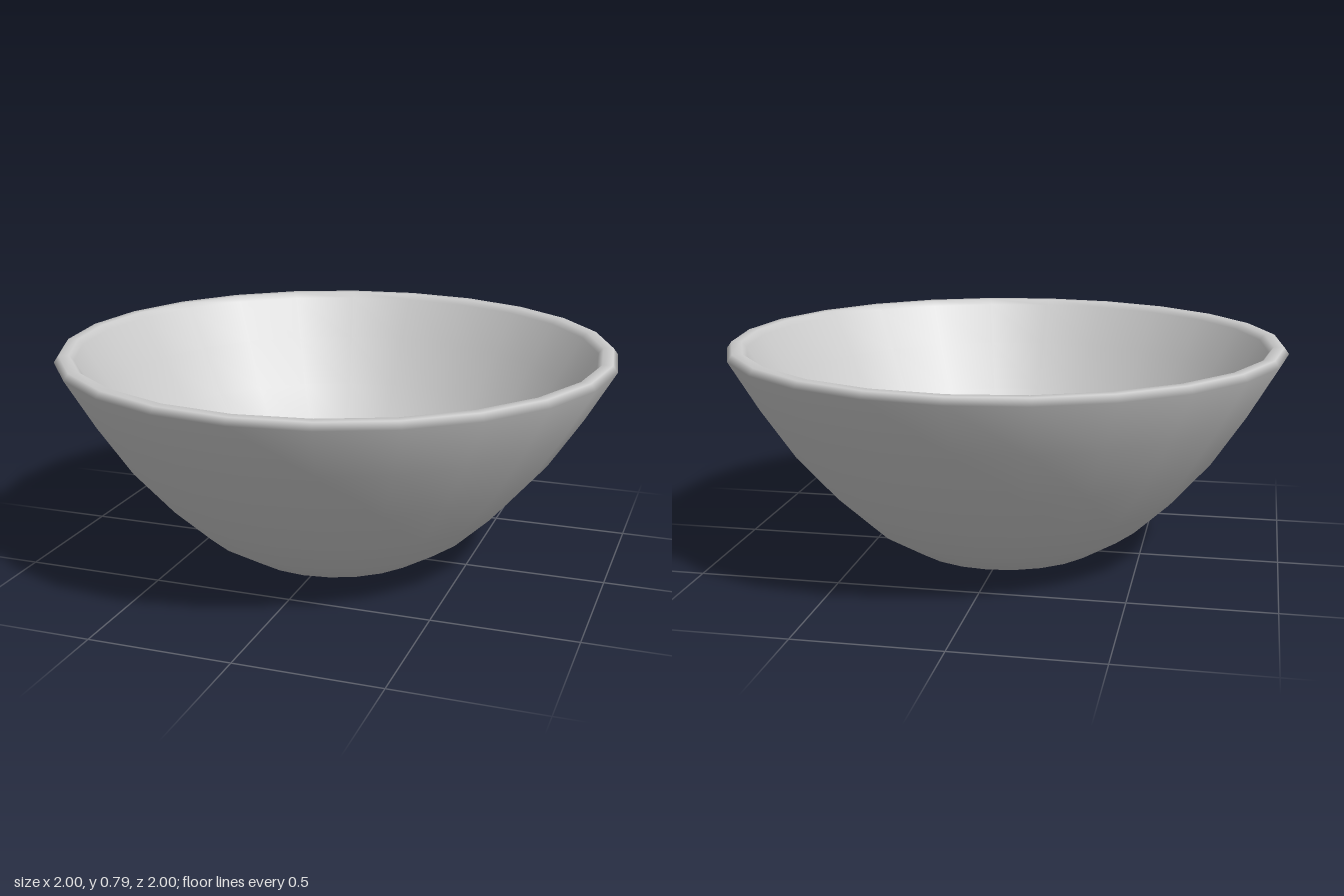
import * as THREE from 'three';

const SIDES = 24;

export function createModel() {
  const group = new THREE.Group();
  group.name = 'bowl';
  const material = new THREE.MeshStandardMaterial({ color: 0xcccccc });

  const add = (name, geometry) => {
    const mesh = new THREE.Mesh(geometry, material);
    mesh.name = name;
    group.add(mesh);
    return mesh;
  };

  // Wall: up the outside, over the rounded rim, down the inside
  const profile = [
    [0.195, 0], [0.36, 0.033], [0.505, 0.122], [0.635, 0.245], [0.778, 0.41], [0.897, 0.59], [1, 0.767],
    [0.983, 0.79], [0.947, 0.79], [0.93, 0.77],
    [0.84, 0.62], [0.727, 0.445], [0.6, 0.295], [0.48, 0.2], [0.35, 0.133], [0.19, 0.075],
  ].map(([r, y]) => new THREE.Vector2(r, y));
  add('wall', new THREE.LatheGeometry(profile, SIDES));

  // Flat discs closing the inside floor and the underside
  const floor = add('insideFloor', new THREE.CircleGeometry(0.19, SIDES).rotateX(-Math.PI / 2));
  floor.position.y = 0.075;
  add('base', new THREE.CircleGeometry(0.195, SIDES).rotateX(Math.PI / 2));

  return group;
}
